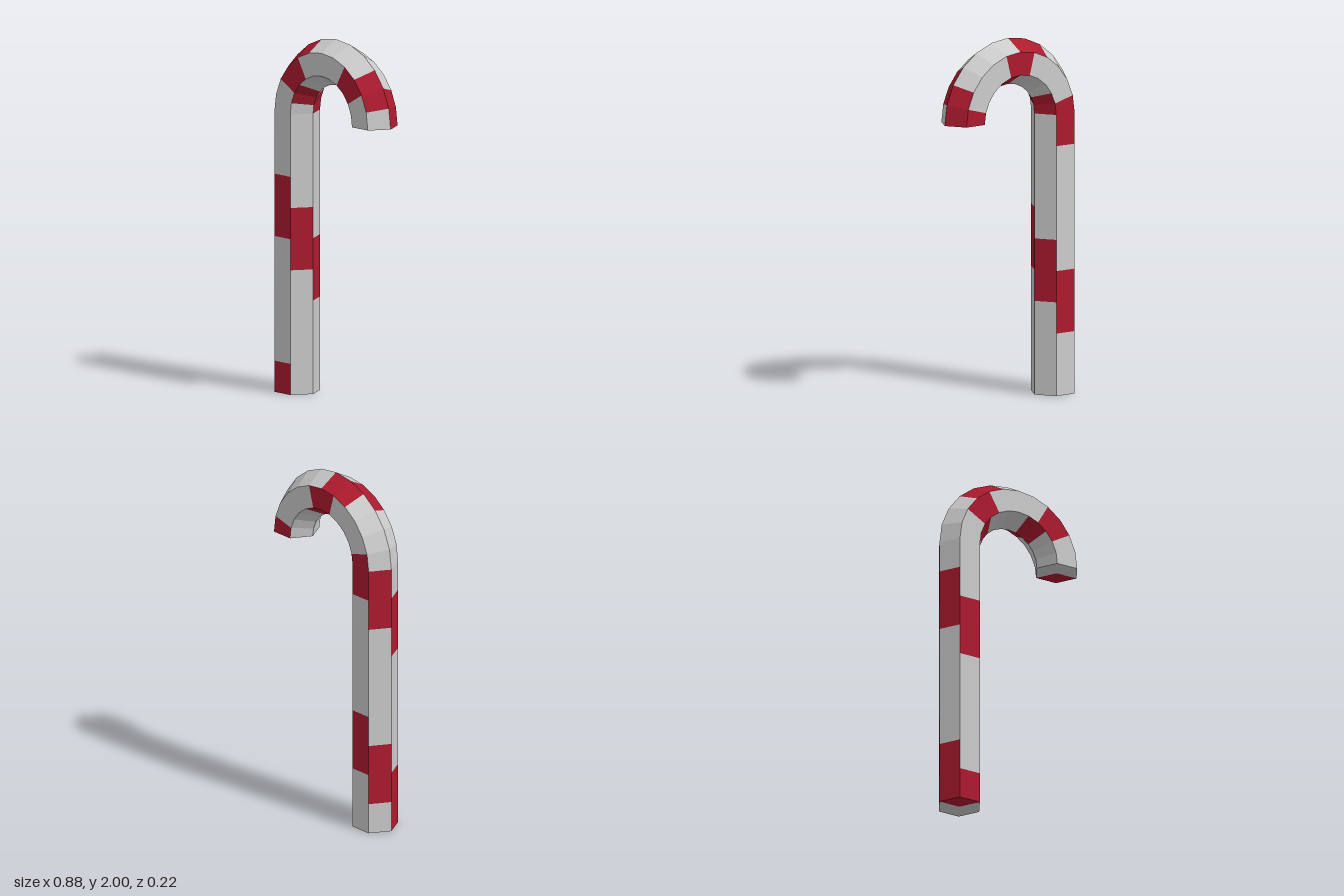
import * as THREE from 'three';

const SIDES = 6;
const SHAFT_RINGS = 9, HOOK_RINGS = 12;
const RINGS = SHAFT_RINGS + HOOK_RINGS;
const SHAFT_HEIGHT = 1.56;
const HOOK_RADIUS = 0.3125;
const ROD_RADIUS = 0.1275;

// Point on the rod at a ring, given its outward and forward offset from the centre line
function rodPoint(ring, out, z) {
  const theta = Math.max(0, ring - SHAFT_RINGS) / HOOK_RINGS * Math.PI;
  const y = Math.min(ring / SHAFT_RINGS, 1) * SHAFT_HEIGHT;
  const r = HOOK_RADIUS + out;
  return [-Math.cos(theta) * r, y + Math.sin(theta) * r, z];
}

// Corner of the hexagonal section; corner 0 points away from the hook centre
function corner(ring, k) {
  const a = (k % SIDES) / SIDES * Math.PI * 2;
  return rodPoint(ring, Math.cos(a) * ROD_RADIUS, Math.sin(a) * ROD_RADIUS);
}

// Two-ring stripes that step down one ring per side
const isStripe = (ring, k) => (ring + k) % SIDES < 2;

function buildMesh(name, color, striped) {
  const positions = [];
  const tri = (a, b, c) => positions.push(...a, ...b, ...c);

  for (let k = 0; k < SIDES; k++) {
    // Side panels
    for (let ring = 0; ring < RINGS; ring++) {
      if (isStripe(ring, k) !== striped) continue;
      const a = corner(ring, k), b = corner(ring, k + 1);
      const c = corner(ring + 1, k + 1), d = corner(ring + 1, k);
      tri(a, b, c);
      tri(a, c, d);
    }
    // End caps continue the colour of the panel they touch
    if (isStripe(0, k) === striped) {
      tri(rodPoint(0, 0, 0), corner(0, k + 1), corner(0, k));
    }
    if (isStripe(RINGS - 1, k) === striped) {
      tri(rodPoint(RINGS, 0, 0), corner(RINGS, k), corner(RINGS, k + 1));
    }
  }

  const geometry = new THREE.BufferGeometry();
  geometry.setAttribute('position', new THREE.Float32BufferAttribute(positions, 3));
  geometry.computeVertexNormals();
  const material = new THREE.MeshStandardMaterial({ color, flatShading: true });
  const mesh = new THREE.Mesh(geometry, material);
  mesh.name = name;
  return mesh;
}

export function createModel() {
  const group = new THREE.Group();
  group.name = 'candyCane';
  group.add(buildMesh('caneBody', 0xcccccc, false));
  group.add(buildMesh('redStripes', 0xad1a2e, true));
  return group;
}
